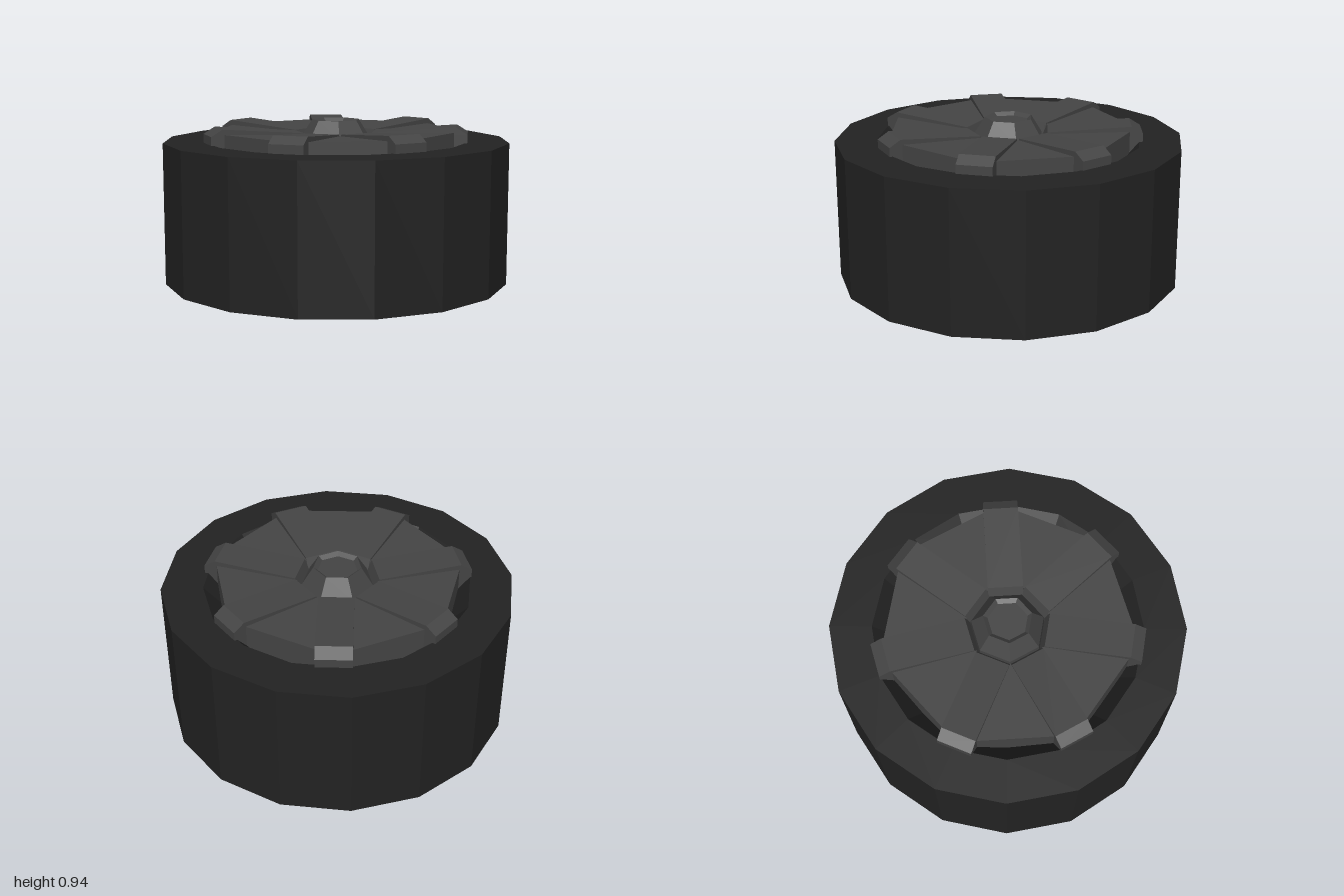
import * as THREE from 'three';

const SPOKES = 7;

const v2 = (pairs) => pairs.map(([x, y]) => new THREE.Vector2(x, y));

export function createModel() {
  const wheel = new THREE.Group();
  wheel.name = 'wheel';
  const rubber = new THREE.MeshStandardMaterial({ color: 0x222222, flatShading: true });
  const metal = new THREE.MeshStandardMaterial({ color: 0x444444, flatShading: true });

  const add = (name, geometry, material, angle = 0) => {
    const mesh = new THREE.Mesh(geometry, material);
    mesh.name = name;
    mesh.rotation.y = angle;
    wheel.add(mesh);
  };

  // Tyre: sixteen-sided block, closed below, with a sloping recess on top
  const tyreProfile = v2([[0, 0], [1.005, 0], [1.005, 0.82], [0.765, 0.82], [0.66, 0.7], [0, 0.7]]);
  add('tyre', new THREE.LatheGeometry(tyreProfile, 16, 0.1), rubber);

  // Spoke: side profile (radius, height), bevelled at the rim and dipping towards the hub
  const spokeShape = new THREE.Shape(v2([
    [0.195, 0.7], [0.765, 0.7], [0.765, 0.87], [0.7, 0.91], [0.222, 0.875], [0.195, 0.81],
  ]));
  const spoke = new THREE.ExtrudeGeometry(spokeShape, { depth: 0.2, bevelEnabled: false });
  spoke.translate(0, 0, -0.1);
  spoke.rotateY(Math.PI / 2);

  // Panel: wedge filling the gap between two spokes, slightly lower at its inner tip
  const panelShape = new THREE.Shape(v2([[0, 0.23], [0.215, 0.665], [-0.215, 0.665]]));
  const panel = new THREE.ExtrudeGeometry(panelShape, { depth: 0.18, bevelEnabled: false });
  panel.rotateX(Math.PI / 2);
  panel.translate(0, 0.88, 0);
  const pos = panel.attributes.position;
  for (let i = 0; i < pos.count; i++) {
    if (pos.getZ(i) < 0.3 && pos.getY(i) > 0.8) pos.setY(i, 0.865);
  }

  for (let i = 0; i < SPOKES; i++) {
    const angle = (i * 2 * Math.PI) / SPOKES;
    add('spoke', spoke, metal, angle);
    add('panel', panel, metal, angle);
  }

  // Hub cap: seven-sided frustum with a shallow dished top
  const hubProfile = v2([[0.215, 0.7], [0.21, 0.83], [0.14, 0.94], [0.115, 0.92], [0, 0.92]]);
  add('hubCap', new THREE.LatheGeometry(hubProfile, SPOKES), metal);

  return wheel;
}
